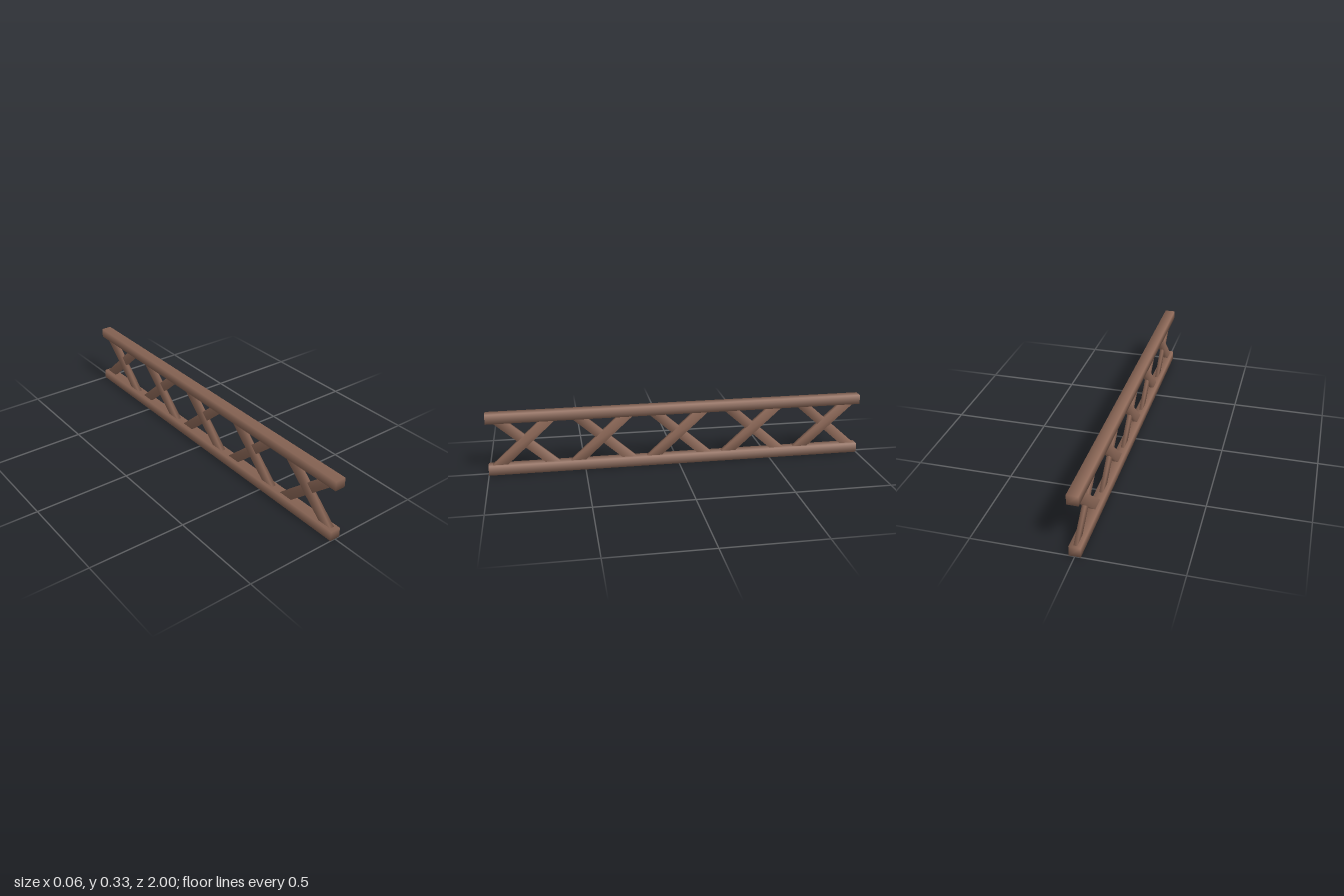
import * as THREE from 'three';
import { mergeVertices } from 'three/addons/utils/BufferGeometryUtils.js';

// Box with shared corners (soft shading), leaned along z by a slope
function softBeam(width, height, depth, slope = 0) {
  const box = new THREE.BoxGeometry(width, height, depth);
  box.deleteAttribute('normal');
  box.deleteAttribute('uv');
  const geometry = mergeVertices(box);
  const p = geometry.attributes.position;
  for (let i = 0; i < p.count; i++) p.setZ(i, p.getZ(i) + slope * p.getY(i));
  geometry.computeVertexNormals();
  return geometry;
}

export function createModel() {
  const group = new THREE.Group();
  group.name = 'trussRailing';
  const wood = new THREE.MeshStandardMaterial({ color: 0x8f6a59 });
  wood.name = 'brownWood';

  const add = (name, geometry, y, z) => {
    const mesh = new THREE.Mesh(geometry, wood);
    mesh.name = name;
    mesh.position.set(0, y, z);
    group.add(mesh);
  };

  // Long horizontal rails
  const rail = softBeam(0.056, 0.05, 2);
  add('bottomRail', rail, 0.025, 0);
  add('topRail', rail, 0.305, 0);

  // Crossed braces, their ends sunk into the rails
  const backLeaning = softBeam(0.024, 0.25, 0.078, -1.1);
  const frontLeaning = softBeam(0.018, 0.25, 0.078, 1.13);
  for (let i = -2; i <= 2; i++) {
    add('backLeaningBrace', backLeaning, 0.165, i * 0.404 + 0.004);
    add('frontLeaningBrace', frontLeaning, 0.165, i * 0.404 - 0.01);
  }
  return group;
}
